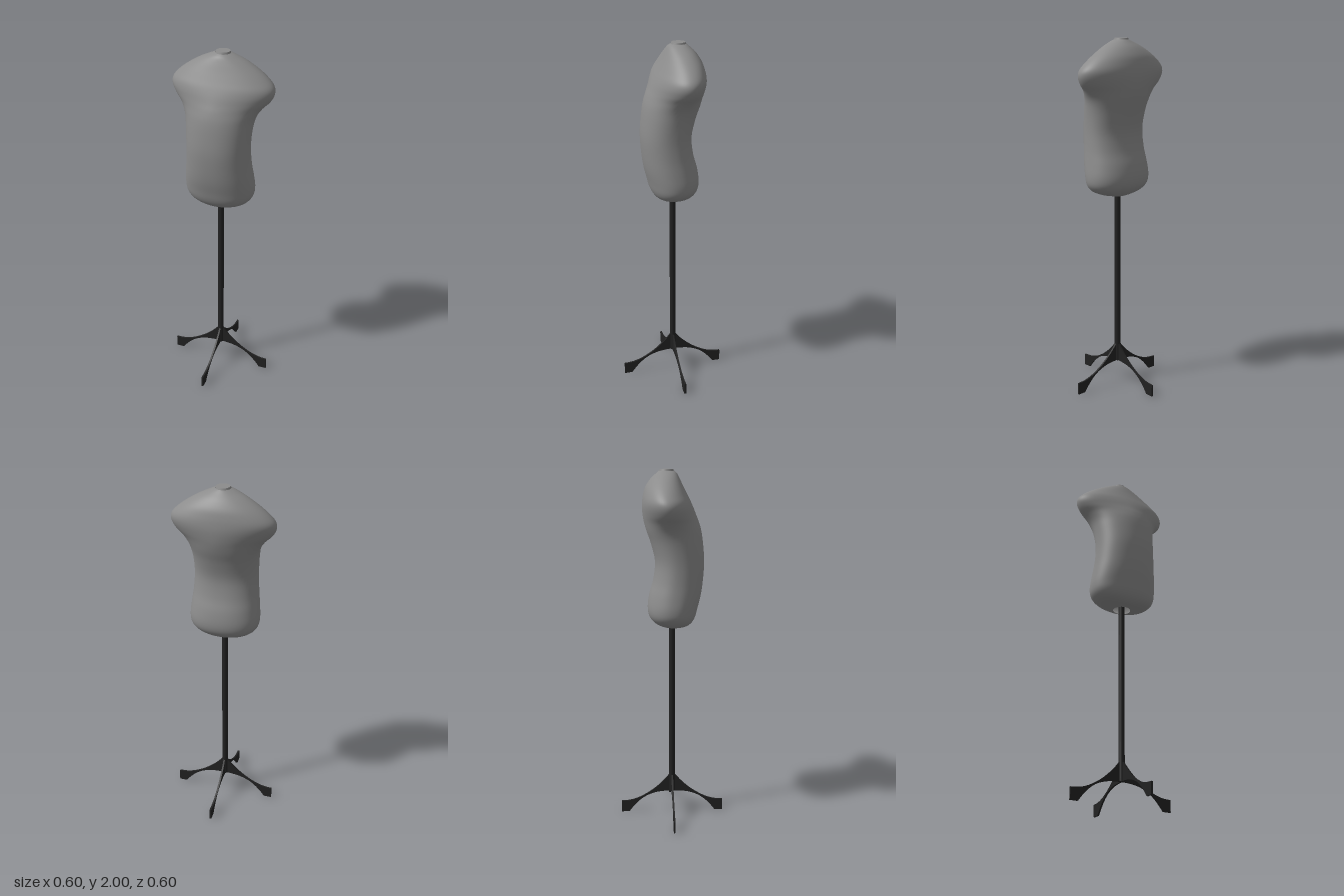
import * as THREE from 'three';

const fabric = new THREE.MeshStandardMaterial({ color: 0x8c8c8c, side: THREE.DoubleSide });
const metal = new THREE.MeshStandardMaterial({ color: 0x222222 });

// Torso sections: [height, half width, front z, back z, z of widest point, roundness exponent]
const SECTIONS = [
  [1.132, 0.05, 0.05, -0.045, 0.0, 2],
  [1.142, 0.1, 0.085, -0.07, 0.01, 2.1],
  [1.165, 0.155, 0.112, -0.105, 0.01, 2.2],
  [1.2, 0.187, 0.13, -0.13, 0.005, 2.2],
  [1.25, 0.195, 0.143, -0.137, 0.005, 2.2],
  [1.32, 0.189, 0.16, -0.127, 0.015, 2.2],
  [1.4, 0.18, 0.171, -0.105, 0.025, 2.2],
  [1.5, 0.175, 0.177, -0.095, 0.03, 2.2],
  [1.6, 0.18, 0.17, -0.117, 0.02, 2.15],
  [1.67, 0.194, 0.16, -0.141, 0.0, 2.05],
  [1.72, 0.225, 0.146, -0.155, -0.015, 1.85],
  [1.76, 0.264, 0.13, -0.162, -0.025, 1.8],
  [1.8, 0.283, 0.114, -0.165, -0.03, 1.9],
  [1.835, 0.278, 0.098, -0.163, -0.035, 2],
  [1.87, 0.248, 0.08, -0.157, -0.04, 2],
  [1.91, 0.197, 0.06, -0.144, -0.04, 2],
  [1.95, 0.132, 0.041, -0.117, -0.037, 2],
  [1.978, 0.073, 0.026, -0.087, -0.032, 2],
  [1.991, 0.041, 0.011, -0.072, -0.031, 2],
];

// Smooth skin lofted through the sections, open at the bottom
function torsoGeometry(rows = 72, around = 64) {
  const spline = (pick) =>
    new THREE.CatmullRomCurve3(SECTIONS.map((s) => new THREE.Vector3(...pick(s))), false, 'catmullrom', 0.5);
  const outline = spline((s) => [s[1], s[0], 0]);
  const depth = spline((s) => [s[2], s[3], s[4]]);
  const round = spline((s) => [s[5], 0, 0]);
  const signedPow = (v, e) => Math.sign(v) * Math.abs(v) ** e;
  const positions = [];
  const index = [];
  for (let i = 0; i <= rows; i++) {
    const t = i / rows;
    const { x: width, y } = outline.getPoint(t);
    const { x: front, y: back, z: mid } = depth.getPoint(t);
    const e = 2 / round.getPoint(t).x;
    for (let j = 0; j < around; j++) {
      const a = (j / around) * Math.PI * 2;
      const s = signedPow(Math.sin(a), e);
      const reach = s > 0 ? front - mid : mid - back;
      positions.push(width * signedPow(Math.cos(a), e), y, mid + s * reach);
      if (i < rows) {
        const p = i * around + j;
        const q = i * around + ((j + 1) % around);
        index.push(p, p + around, q, q, p + around, q + around);
      }
    }
  }
  const geometry = new THREE.BufferGeometry();
  geometry.setAttribute('position', new THREE.Float32BufferAttribute(positions, 3));
  geometry.setIndex(index);
  geometry.computeVertexNormals();
  return geometry;
}

// Flat arched leg cut from a plate, running out along +x
function legGeometry(thickness = 0.01) {
  const v = (x, y) => new THREE.Vector2(x, y);
  const shape = new THREE.Shape();
  shape.moveTo(0, 0.24);
  shape.lineTo(0.014, 0.236);
  shape.splineThru([v(0.05, 0.193), v(0.1, 0.147), v(0.15, 0.112), v(0.2, 0.086), v(0.25, 0.071), v(0.3, 0.067)]);
  shape.lineTo(0.3, 0);
  shape.lineTo(0.255, 0);
  shape.splineThru([v(0.225, 0.038), v(0.19, 0.073), v(0.15, 0.1), v(0.1, 0.119), v(0.05, 0.127), v(0, 0.129)]);
  return new THREE.ExtrudeGeometry(shape, { depth: thickness, bevelEnabled: false, curveSegments: 14 })
    .translate(0, 0, -thickness / 2);
}

export function createModel() {
  const model = new THREE.Group();
  model.name = 'dressForm';
  const add = (name, geometry, material) => {
    const mesh = new THREE.Mesh(geometry, material);
    mesh.name = name;
    model.add(mesh);
    return mesh;
  };

  add('torso', torsoGeometry(), fabric);

  // Low round cap closing the neck
  add('neckCap', new THREE.CylinderGeometry(0.037, 0.041, 0.012, 32), fabric).position.set(0, 1.994, -0.031);

  // Pole reaching up inside the torso
  const bottom = 0.13;
  const top = 1.25;
  add('pole', new THREE.CylinderGeometry(0.017, 0.017, top - bottom, 16), metal).position.y = (top + bottom) / 2;

  // Four legs in a cross
  const leg = legGeometry();
  for (let i = 0; i < 4; i++) add(`leg${i + 1}`, leg, metal).rotation.y = (i * Math.PI) / 2;

  return model;
}
